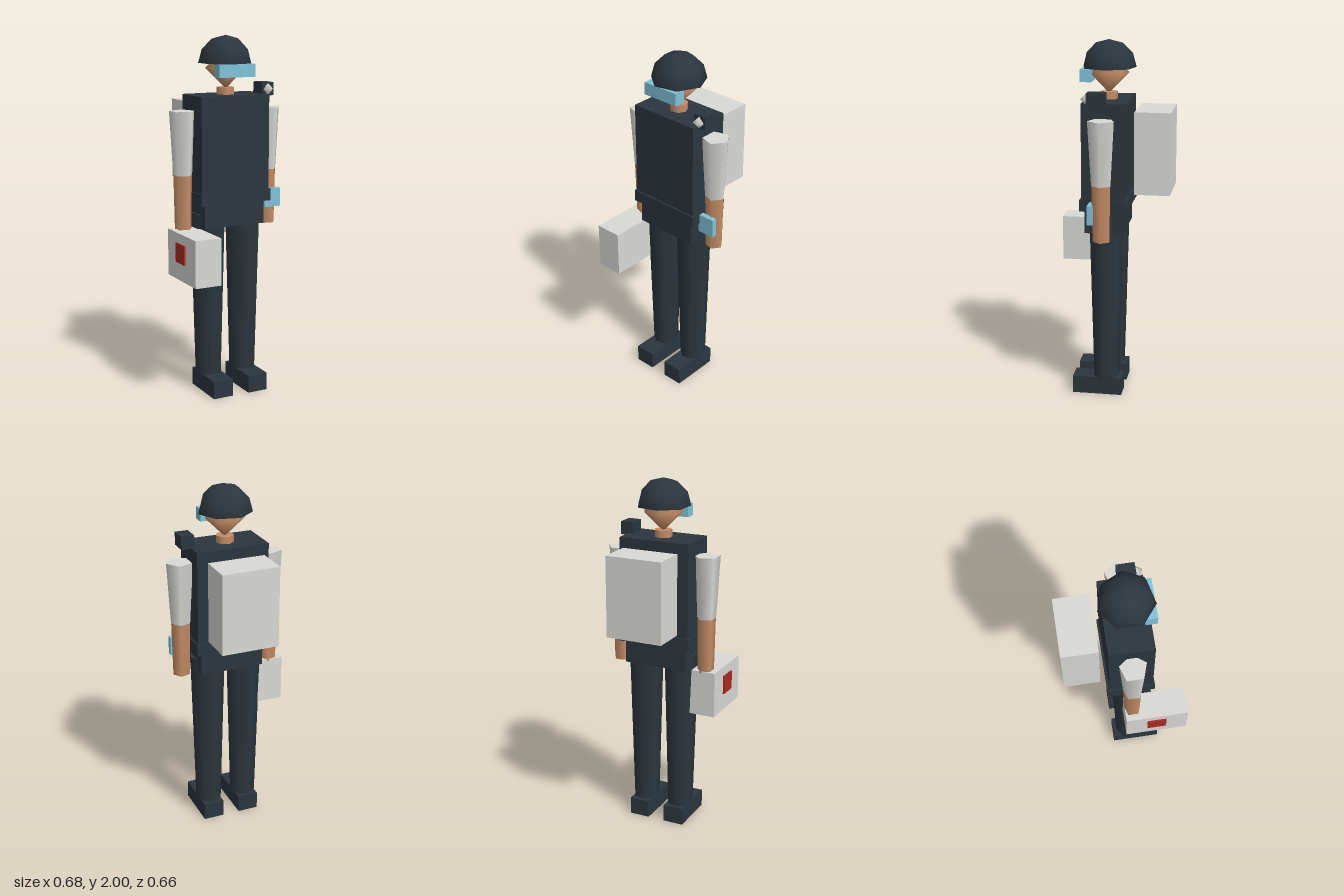
import * as THREE from 'three';

const mat = (name, color) => {
  const m = new THREE.MeshStandardMaterial({ color });
  m.name = name;
  return m;
};

export function createModel() {
  const dark = mat('dark uniform', 0x2c363e);
  const white = mat('light grey', 0xd9d9d6);
  const skin = mat('skin', 0xc68e66);
  const blue = mat('pale blue', 0x7fc4da);
  const red = mat('red', 0xb02a20);

  const model = new THREE.Group();
  model.name = 'fieldMedic';
  const CX = 0.0045, CZ = 0.025; // body axis

  const add = (name, geometry, material, x, y, z) => {
    const mesh = new THREE.Mesh(geometry, material);
    mesh.name = name;
    mesh.position.set(x, y, z);
    model.add(mesh);
    return mesh;
  };
  // Box given by its extents on each axis
  const box = (name, material, [x0, x1], [y0, y1], [z0, z1]) =>
    add(name, new THREE.BoxGeometry(x1 - x0, y1 - y0, z1 - z0), material,
      (x0 + x1) / 2, (y0 + y1) / 2, (z0 + z1) / 2);
  // Tapered limb with one corner pointing to +x
  const limb = (name, material, x, y0, y1, r0, r1, sides) =>
    add(name, new THREE.CylinderGeometry(r1, r0, y1 - y0, sides).rotateY(Math.PI / 2),
      material, x, (y0 + y1) / 2, CZ);
  // Coarse sphere with one corner pointing to +x
  const ball = (name, material, r, sides, rows, x, y, z, sweep = Math.PI) =>
    add(name, new THREE.SphereGeometry(r, sides, rows, 0, Math.PI * 2, 0, sweep).rotateY(Math.PI),
      material, x, y, z);

  // Trunk
  box('torso', dark, [-0.202, 0.211], [1.12, 1.68], [-0.095, 0.145]);
  box('belt', dark, [-0.211, 0.22], [1.09, 1.155], [-0.105, 0.155]);
  box('pelvis', dark, [-0.18, 0.188], [0.96, 1.1], [-0.08, 0.133]);

  // Legs and arms
  for (const [side, s] of [['left', 1], ['right', -1]]) {
    const legX = CX + s * 0.109, armX = CX + s * 0.2625;
    limb(side + 'Leg', dark, legX, 0.09, 1.03, 0.075, 0.1, 7);
    box(side + 'Boot', dark, [legX - 0.0595, legX + 0.0595], [0, 0.1], [-0.07, 0.21]);
    limb(side + 'Sleeve', white, armX, 1.25, 1.6, 0.055, 0.075, 5);
    limb(side + 'Forearm', skin, armX, 0.94, 1.25, 0.048, 0.054, 5);
  }

  // Head, helmet and visor
  limb('neck', skin, CX, 1.66, 1.72, 0.05, 0.05, 7);
  ball('head', skin, 0.113, 7, 2, CX, 1.823, CZ);
  ball('helmet', dark, 0.151, 7, 3, CX, 1.85, CZ, Math.PI / 2);
  add('helmetUnderside', new THREE.CircleGeometry(0.151, 7).rotateX(Math.PI / 2), dark, CX, 1.85, CZ);
  box('visor', blue, [-0.106, 0.112], [1.78, 1.849], [0.105, 0.167]);

  // Shoulder lamp and wrist device
  box('shoulderLamp', dark, [0.185, 0.259], [1.67, 1.742], [0.01, 0.108]);
  ball('lampLens', white, 0.032, 5, 2, 0.2215, 1.706, 0.112);
  box('wristDevice', blue, [0.213, 0.313], [1.04, 1.145], [0.068, 0.098]);

  // Backpack and carried case
  box('backpack', white, [-0.158, 0.167], [1.182, 1.633], [-0.333, -0.137]);
  box('carryCase', white, [-0.332, -0.18], [0.69, 0.95], [-0.018, 0.33]);
  box('casePanel', red, [-0.342, -0.3325], [0.79, 0.896], [0.102, 0.208]);

  return model;
}
